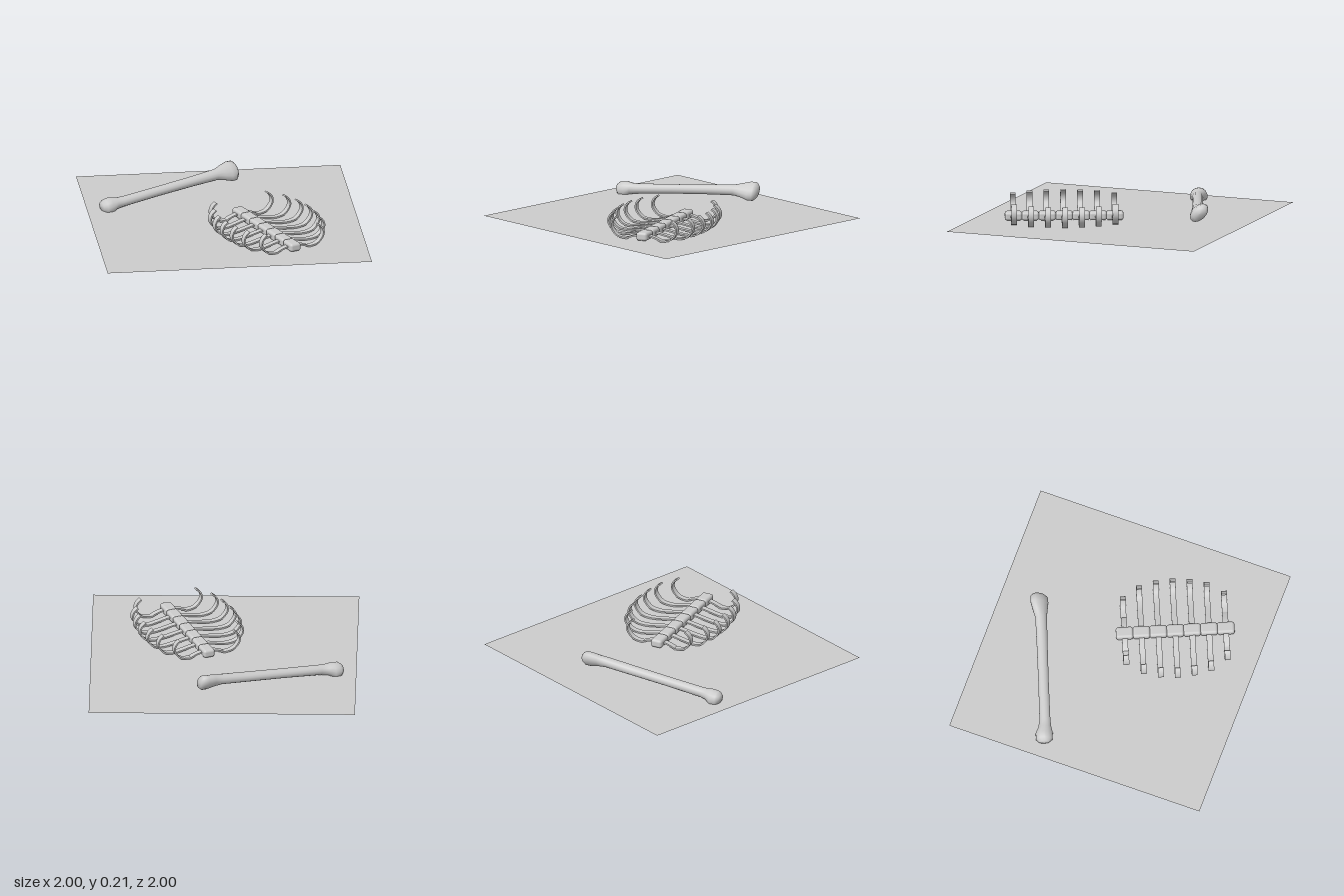
import * as THREE from 'three';
import { RoundedBoxGeometry } from 'three/addons/geometries/RoundedBoxGeometry.js';
import { toCreasedNormals } from 'three/addons/utils/BufferGeometryUtils.js';

const GROUND_Y = 0.043;
const material = new THREE.MeshStandardMaterial({ color: 0xcccccc });
const groundMaterial = new THREE.MeshStandardMaterial({ color: 0xcccccc, side: THREE.DoubleSide });

function add(parent, name, geometry, mat = material) {
  const mesh = new THREE.Mesh(geometry, mat);
  mesh.name = name;
  parent.add(mesh);
  return mesh;
}

// Skin of elliptical rings along x: [x, centre y, centre z, radius y, radius z, shear]
function loft(sections, sides) {
  const positions = [], index = [];
  for (const [x, cy, cz, ry, rz, shear = 0] of sections) {
    for (let j = 0; j < sides; j++) {
      const a = (j / sides) * Math.PI * 2;
      const z = Math.sin(a) * rz;
      positions.push(x, cy + Math.cos(a) * ry - shear * z, cz + z);
    }
  }
  for (let i = 0; i < sections.length - 1; i++) {
    for (let j = 0; j < sides; j++) {
      const k = (j + 1) % sides;
      const a = i * sides + j, c = i * sides + k, b = a + sides, d = c + sides;
      index.push(a, c, b, c, d, b);
    }
  }
  const geometry = new THREE.BufferGeometry();
  geometry.setAttribute('position', new THREE.Float32BufferAttribute(positions, 3));
  geometry.setIndex(index);
  geometry.computeVertexNormals();
  return geometry;
}

// Thin flat strip following the curled rib profile, reaching out to x = reach
function ribGeometry(reach, width, thickness) {
  const curve = new THREE.SplineCurve([
    [0.02, 0.085], [0.07, 0.078], [reach * 0.45, 0.06], [reach - 0.13, 0.052],
    [reach - 0.06, 0.064], [reach - 0.016, 0.108], [reach - 0.006, 0.148],
    [reach - 0.022, 0.186], [reach - 0.05, 0.208],
  ].map(([x, y]) => new THREE.Vector2(x, y)));
  const outer = [], inner = [];
  const steps = 28;
  for (let i = 0; i <= steps; i++) {
    const p = curve.getPoint(i / steps), t = curve.getTangent(i / steps);
    const n = new THREE.Vector2(t.y, -t.x).multiplyScalar(thickness / 2);
    outer.push(p.clone().add(n));
    inner.unshift(p.clone().sub(n));
  }
  const geometry = new THREE.ExtrudeGeometry(new THREE.Shape([...outer, ...inner]), {
    depth: width, bevelEnabled: false,
  });
  geometry.translate(0, 0, -width / 2);
  return toCreasedNormals(geometry, 0.7);
}

function createRibCage() {
  const cage = new THREE.Group();
  cage.name = 'ribCage';
  const spacing = 0.127;
  const reaches = [0.27, 0.349, 0.383, 0.393, 0.381, 0.351, 0.273];
  reaches.forEach((reach, i) => {
    const z = (i - 3) * spacing;
    // Breastbone segment
    add(cage, 'breastboneSegment', new RoundedBoxGeometry(0.09, 0.064, spacing + 0.004, 3, 0.02))
      .position.set(0, 0.083, z);
    // Pair of ribs
    const geometry = ribGeometry(reach, 0.043, 0.012);
    for (const [name, turn] of [['leftRib', 0], ['rightRib', Math.PI]]) {
      const rib = add(cage, name, geometry);
      rib.position.z = z;
      rib.rotation.y = turn;
    }
  });
  cage.position.set(0.281, 0, 0.339);
  cage.rotation.y = 0.404;
  return cage;
}

function createLongBone() {
  const bone = new THREE.Group();
  bone.name = 'longBone';
  add(bone, 'boneShaft', loft([
    // Lower knuckle
    [-0.724, 0.078, -0.012, 0, 0],
    [-0.72, 0.078, -0.012, 0.03, 0.04],
    [-0.695, 0.07, -0.01, 0.058, 0.063],
    [-0.65, 0.071, -0.009, 0.064, 0.066],
    [-0.605, 0.084, -0.003, 0.043, 0.05],
    // Shaft
    [-0.55, 0.089, 0, 0.038, 0.042],
    [-0.25, 0.114, 0, 0.036, 0.04],
    [0.05, 0.138, 0, 0.037, 0.042],
    [0.25, 0.154, 0, 0.04, 0.045, 0.1],
    // Upper knuckle
    [0.31, 0.156, -0.006, 0.048, 0.057, 0.3],
    [0.37, 0.155, -0.009, 0.06, 0.069, 0.42],
    [0.41, 0.155, -0.009, 0.06, 0.068, 0.42],
    [0.432, 0.155, -0.012, 0.04, 0.046, 0.4],
    [0.436, 0.155, -0.012, 0, 0],
  ], 14)).position.z = -0.584;
  bone.rotation.y = 0.386;
  return bone;
}

export function createModel() {
  const model = new THREE.Group();
  model.name = 'bonesOnGround';
  // Ground sheet
  const ground = add(model, 'ground', new THREE.PlaneGeometry(2, 2), groundMaterial);
  ground.rotation.x = -Math.PI / 2;
  ground.position.y = GROUND_Y;
  model.add(createRibCage(), createLongBone());
  return model;
}
